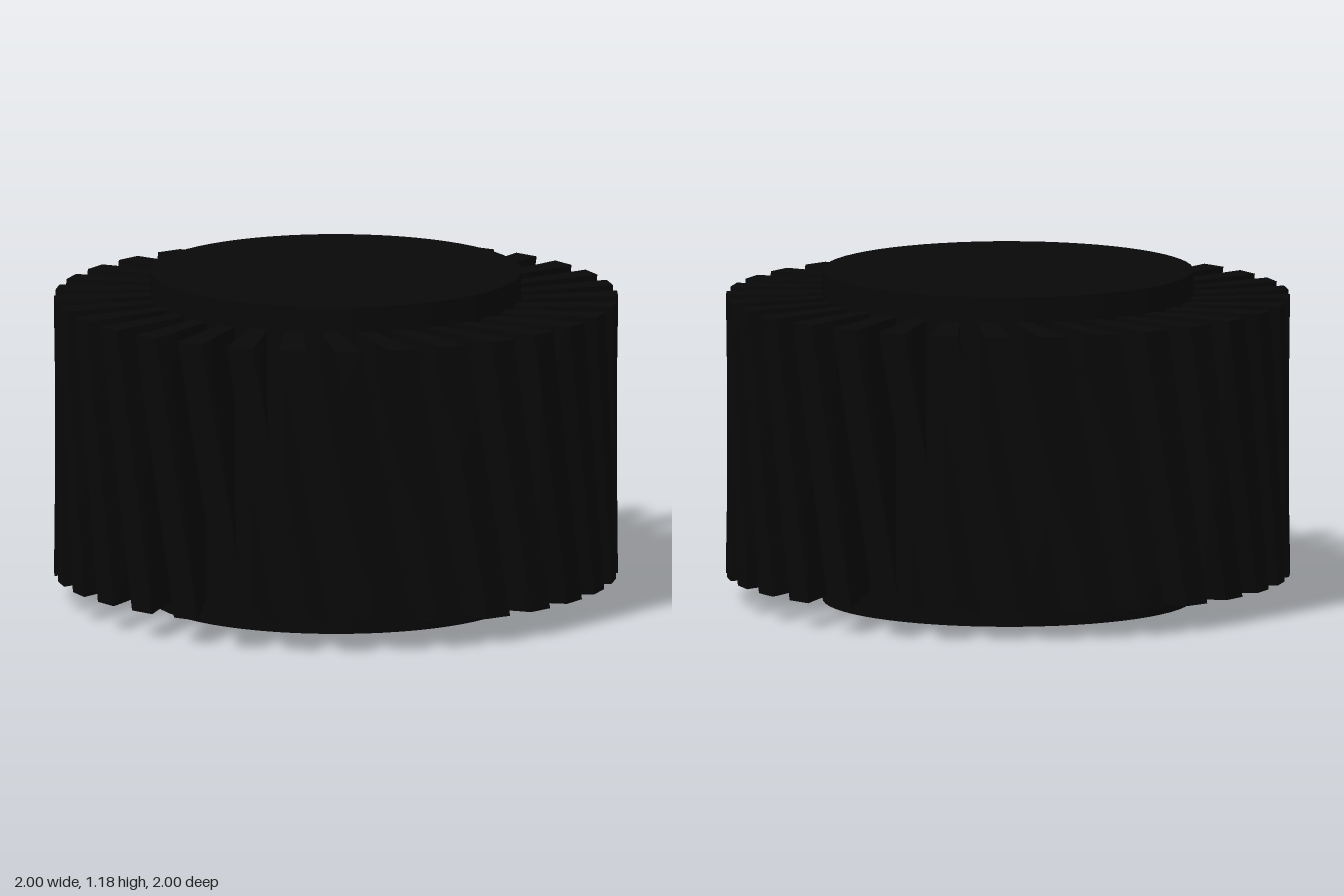
import * as THREE from 'three';

const HUB_RADIUS = 0.657, ROOT_RADIUS = 0.65, COUNT = 32;
const BOTTOM = 0.092, TOP = 1.09;
const PITCH = 2 * Math.PI / COUNT;
const TOP_SWEEP = THREE.MathUtils.degToRad(4.7), BOTTOM_SWEEP = THREE.MathUtils.degToRad(15);

const polar = (angle, radius) => new THREE.Vector2(Math.sin(angle), Math.cos(angle)).multiplyScalar(radius);

// One fin: upright where it meets the hub, its rim edge swept further round at the bottom than at the top
function finGeometry() {
  const g = new THREE.BoxGeometry(1, 1, 1, 1, 8, 4);
  const p = g.attributes.position;
  for (let i = 0; i < p.count; i++) {
    const side = p.getX(i) * PITCH / 2, up = p.getY(i) + 0.5, out = p.getZ(i) + 0.5;
    const rim = polar(side + BOTTOM_SWEEP, 1).lerp(polar(side + TOP_SWEEP, 1), up);
    const q = polar(side, ROOT_RADIUS).lerp(rim, out);
    p.setXYZ(i, q.x, THREE.MathUtils.lerp(BOTTOM, TOP, up), q.y);
  }
  g.computeVertexNormals();
  return g;
}

export function createModel() {
  const model = new THREE.Group();
  model.name = 'finnedDrum';
  const material = new THREE.MeshStandardMaterial({ color: 0x080808 });

  // Solid core
  const hub = new THREE.Mesh(new THREE.CylinderGeometry(HUB_RADIUS, HUB_RADIUS, 1.18, 64), material);
  hub.position.y = 0.59;
  hub.name = 'hub';
  model.add(hub);

  // Ring of twisted fins
  const fins = new THREE.Group();
  fins.name = 'fins';
  const geometry = finGeometry();
  for (let i = 0; i < COUNT; i++) {
    const fin = new THREE.Mesh(geometry, material);
    fin.rotation.y = (i + 0.5) * PITCH;
    fin.name = 'fin';
    fins.add(fin);
  }
  model.add(fins);
  return model;
}
